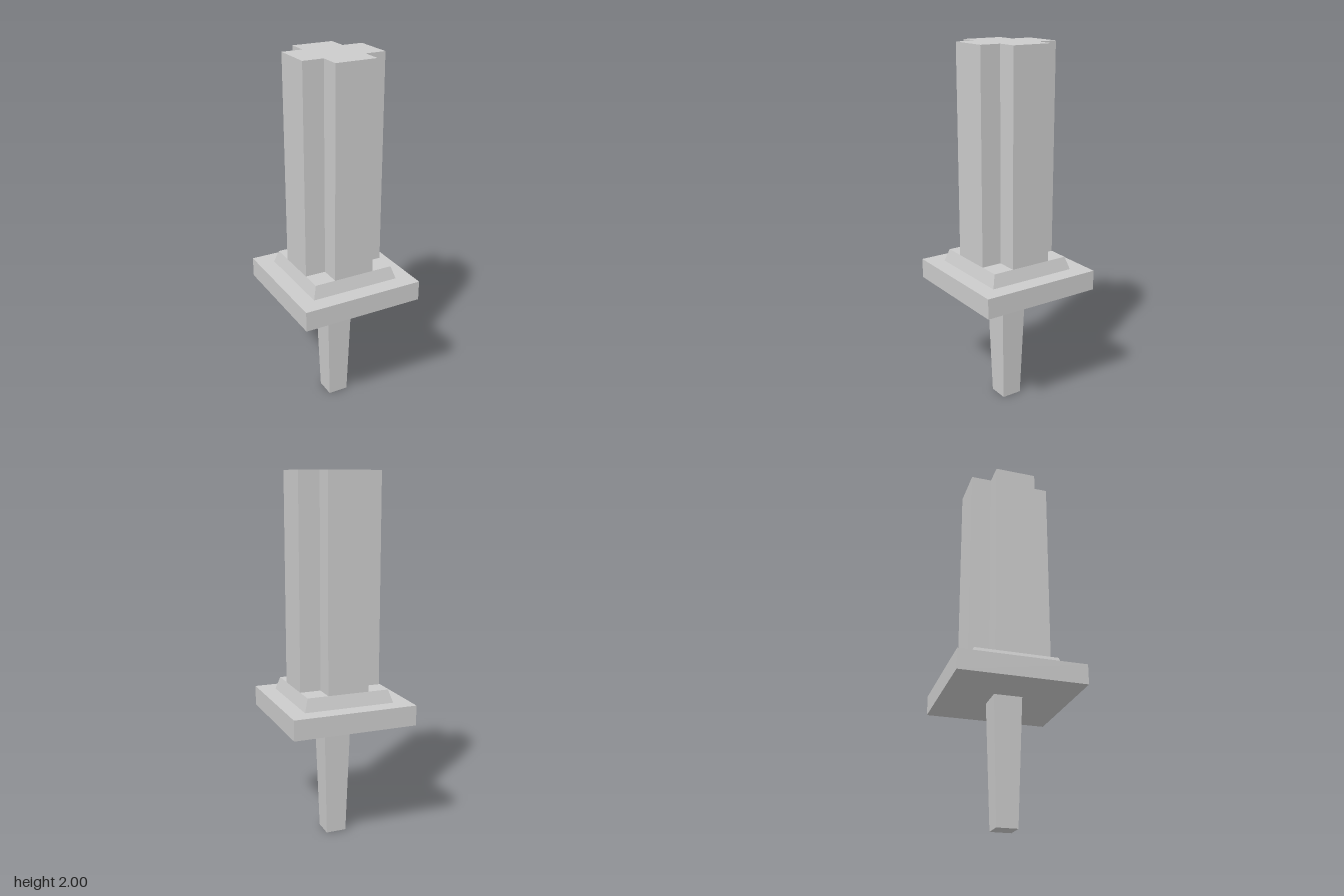
import * as THREE from 'three';

const material = new THREE.MeshStandardMaterial({ color: 0xcccccc, flatShading: true });

// Square block between two heights, with half-widths at its bottom and top.
function squareBlock(name, y0, y1, bottom, top) {
  const g = new THREE.CylinderGeometry(top * Math.SQRT2, bottom * Math.SQRT2, y1 - y0, 4);
  g.rotateY(Math.PI / 4);
  g.translate(0, (y0 + y1) / 2, 0);
  const mesh = new THREE.Mesh(g, material);
  mesh.name = name;
  return mesh;
}

// Upright column with a plus-shaped section: half-width r, arm half-width a.
function crossColumn(name, y0, y1, r, a) {
  const points = [
    [r, -a], [r, a], [a, a], [a, r], [-a, r], [-a, a],
    [-r, a], [-r, -a], [-a, -a], [-a, -r], [a, -r], [a, -a],
  ].map(([x, y]) => new THREE.Vector2(x, y));
  const g = new THREE.ExtrudeGeometry(new THREE.Shape(points), { depth: y1 - y0, bevelEnabled: false });
  g.rotateX(-Math.PI / 2);
  g.translate(0, y0, 0);
  const mesh = new THREE.Mesh(g, material);
  mesh.name = name;
  return mesh;
}

export function createModel() {
  const model = new THREE.Group();
  model.name = 'crossPost';
  model.add(
    squareBlock('taperedStem', 0, 0.68, 0.057, 0.077),
    squareBlock('basePlate', 0.68, 0.79, 0.342, 0.342),
    squareBlock('slopedCollar', 0.79, 0.86, 0.25, 0.228),
    crossColumn('crossColumn', 0.86, 2, 0.228, 0.114),
  );
  return model;
}
